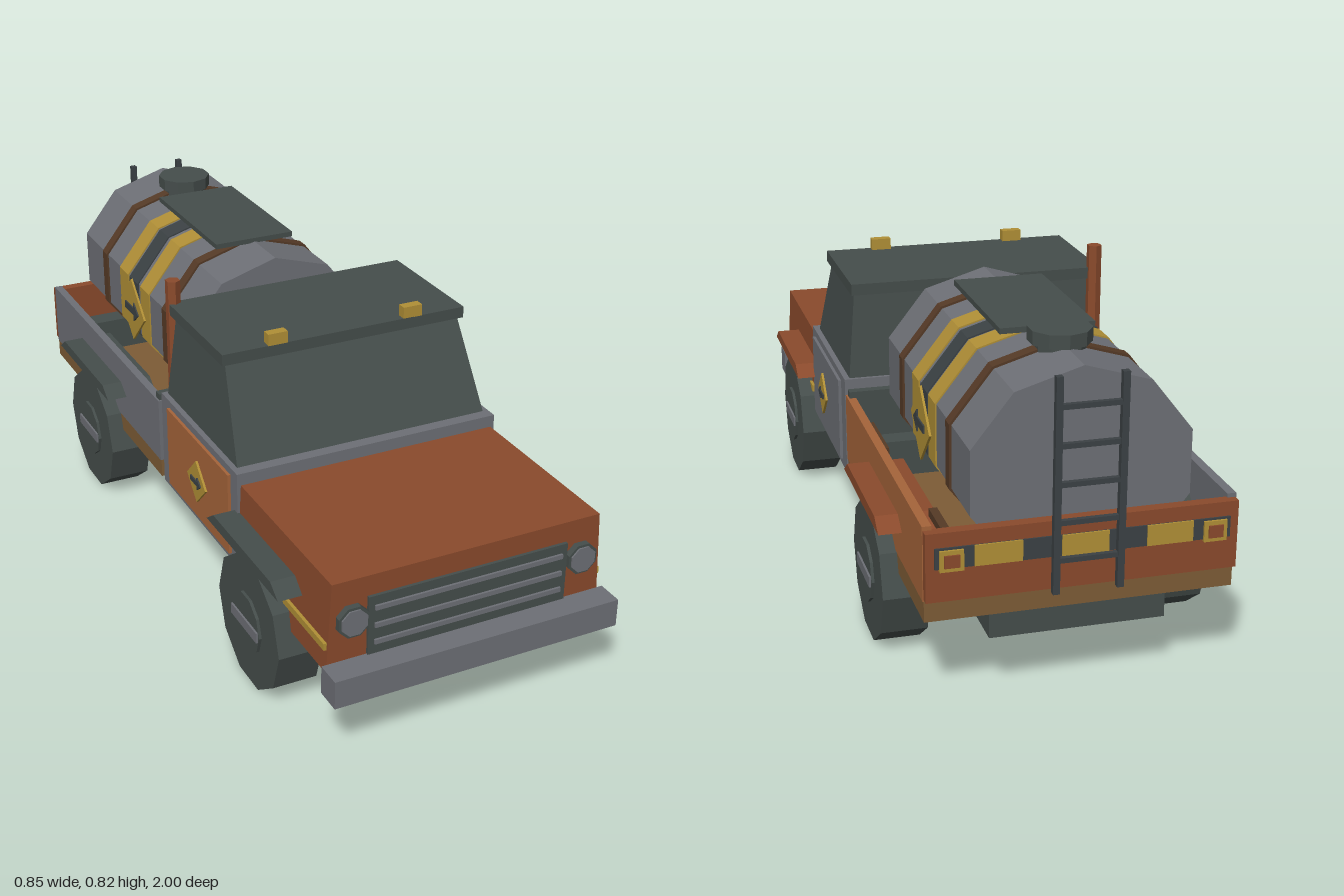
import * as THREE from 'three';

const colours = {
  rust: 0x8a4a2c, orange: 0xa5643a, tan: 0x7d5c36, grey: 0x6d6f75, dark: 0x454d4b,
  yellow: 0xb08f36, strap: 0x553a26, charcoal: 0x3b4144,
};

export function createModel() {
  const truck = new THREE.Group();
  truck.name = 'tankTruck';
  const mats = {};
  for (const [name, color] of Object.entries(colours)) {
    mats[name] = new THREE.MeshStandardMaterial({ color });
    mats[name].name = name;
  }

  // Faceted mesh from any geometry
  function add(name, geo, mat, x = 0, y = 0, z = 0) {
    const g = geo.index ? geo.toNonIndexed() : geo;
    g.computeVertexNormals();
    const mesh = new THREE.Mesh(g, mats[mat]);
    mesh.name = name;
    mesh.position.set(x, y, z);
    truck.add(mesh);
    return mesh;
  }
  // Box given by its limits on each axis
  function box(name, mat, [x0, x1], [y0, y1], [z0, z1]) {
    return add(name, new THREE.BoxGeometry(x1 - x0, y1 - y0, z1 - z0), mat,
      (x0 + x1) / 2, (y0 + y1) / 2, (z0 + z1) / 2);
  }
  // Box whose top has its own half width and z range
  function tapered(name, mat, [y0, y1], bottom, top) {
    const g = new THREE.BoxGeometry(2, 1, 2);
    const p = g.attributes.position;
    for (let i = 0; i < p.count; i++) {
      const up = p.getY(i) > 0;
      const [hw, z0, z1] = up ? top : bottom;
      p.setXYZ(i, p.getX(i) * hw, up ? y1 : y0, p.getZ(i) > 0 ? z1 : z0);
    }
    return add(name, g, mat);
  }
  // Flat-sided cylinder lying along x or z
  function drum(axis, r, len, sides) {
    const g = new THREE.CylinderGeometry(r, r, len, sides);
    return axis === 'x' ? g.rotateZ(Math.PI / 2) : g.rotateX(Math.PI / 2);
  }

  // Chassis and front bumper
  box('chassis', 'dark', [-0.21, 0.21], [0.155, 0.226], [-0.93, 0.88]);
  box('frontBumper', 'grey', [-0.38, 0.38], [0.177, 0.25], [0.932, 1.0]);

  // Hood, grille and headlights
  tapered('hood', 'rust', [0.225, 0.458], [0.367, 0.44, 0.93], [0.355, 0.44, 0.93]);
  box('grille', 'dark', [-0.265, 0.265], [0.25, 0.405], [0.925, 0.938]);
  for (const y of [0.283, 0.328, 0.375]) {
    box('grilleSlat', 'grey', [-0.25, 0.25], [y - 0.006, y + 0.006], [0.936, 0.944]);
  }

  // Cab
  box('cabBody', 'grey', [-0.365, 0.365], [0.225, 0.49], [-0.055, 0.44]);
  tapered('cabWindows', 'dark', [0.49, 0.72], [0.35, -0.045, 0.408], [0.328, -0.022, 0.292]);
  box('roof', 'dark', [-0.34, 0.34], [0.718, 0.748], [-0.05, 0.305]);

  // Exhaust stack
  add('exhaustPipe', new THREE.CylinderGeometry(0.02, 0.02, 0.55, 6), 'rust', -0.325, 0.535, -0.048);

  // Load bed
  box('bedFloor', 'tan', [-0.365, 0.365], [0.225, 0.275], [-0.95, -0.075]);
  box('bedLeftWall', 'orange', [0.345, 0.367], [0.275, 0.455], [-0.947, -0.075]);
  box('bedRightWall', 'grey', [-0.367, -0.345], [0.275, 0.455], [-0.947, -0.075]);
  box('headboard', 'dark', [-0.362, 0.362], [0.27, 0.472], [-0.105, -0.08]);
  box('tailgate', 'rust', [-0.365, 0.365], [0.28, 0.445], [-0.968, -0.94]);

  // Warning band on the tailgate
  box('tailBand', 'charcoal', [-0.345, 0.345], [0.36, 0.41], [-0.972, -0.966]);
  for (const x of [-0.2, 0, 0.2]) {
    box('tailBandStripe', 'yellow', [x - 0.055, x + 0.055], [0.36, 0.41], [-0.974, -0.97]);
  }

  // Ladder
  for (const x of [-0.075, 0.075]) {
    box('ladderRail', 'charcoal', [x - 0.008, x + 0.008], [0.28, 0.79], [-1.0, -0.984]);
  }
  for (let i = 0; i < 5; i++) {
    const y = 0.36 + i * 0.09;
    box('ladderRung', 'charcoal', [-0.075, 0.075], [y - 0.006, y + 0.006], [-0.998, -0.986]);
  }
  
  // Tank with bands, saddles, walkway and hatch
  function tankRing(name, mat, z0, z1, grow) {
    const g = drum('z', 1, z1 - z0, 10).scale(0.27 + grow, 0.25 + grow, 1);
    add(name, g, mat, 0, 0.54, (z0 + z1) / 2);
  }
  tankRing('tank', 'grey', -0.938, -0.115, 0);
  for (const z of [-0.76, -0.283]) tankRing('tankStrap', 'strap', z - 0.017, z + 0.017, 0.006);
  for (const z of [-0.602, -0.437]) tankRing('tankYellowBand', 'yellow', z - 0.034, z + 0.034, 0.004);
  tankRing('tankDarkBand', 'charcoal', -0.556, -0.491, 0.004);
  for (const z of [-0.84, -0.197]) {
    box('tankSaddle', 'dark', [-0.325, 0.325], [0.275, 0.37], [z - 0.03, z + 0.03]);
  }
  box('tankWalkway', 'dark', [-0.115, 0.115], [0.786, 0.8], [-0.67, -0.25]);
  add('hatchCollar', new THREE.CylinderGeometry(0.06, 0.06, 0.05, 10), 'dark', 0, 0.775, -0.76);
  add('hatchLid', new THREE.CylinderGeometry(0.075, 0.075, 0.033, 10), 'dark', 0, 0.808, -0.76);

  // Loose bars lying in the bed
  box('looseBar', 'strap', [0.28, 0.3], [0.38, 0.4], [-0.9, -0.73]);
  box('looseBar', 'strap', [0.308, 0.328], [0.38, 0.4], [-0.34, -0.15]);

  // Thin sign outlines in the side plane: u runs forward, v runs up
  const diamond = [[1, 0], [0, 1], [-1, 0], [0, -1]];
  const arrow = [[0.58, 0], [0.2, 0.3], [0.2, 0.11], [-0.52, 0.11], [-0.52, -0.11], [0.2, -0.11], [0.2, -0.3]];
  function plate(name, mat, pts, size, x, y, z) {
    const shape = new THREE.Shape(pts.map(([u, v]) => new THREE.Vector2(-u * size, v * size)));
    const g = new THREE.ExtrudeGeometry(shape, { depth: 0.006, bevelEnabled: false });
    g.translate(0, 0, -0.003).rotateY(Math.PI / 2);
    add(name, g, mat, x, y, z);
  }
  // Fender outline in the side plane
  const fenderShape = new THREE.Shape([[-0.207, 0.352], [0.207, 0.352], [0.165, 0.382], [-0.165, 0.382]]
    .map(([u, v]) => new THREE.Vector2(u, v)));

  for (const s of [1, -1]) {
    const span = (a, b) => (s > 0 ? [a, b] : [-b, -a]);

    // Headlights, tail lights and roof markers
    add('headlightRing', drum('z', 0.042, 0.02, 8).rotateZ(Math.PI / 8), 'dark', s * 0.305, 0.355, 0.936);
    add('headlightLens', drum('z', 0.035, 0.006, 8).rotateZ(Math.PI / 8), 'grey', s * 0.305, 0.355, 0.947);
    box('tailLight', 'yellow', span(0.28, 0.335), [0.355, 0.405], [-0.978, -0.966]);
    box('tailLightLens', 'rust', span(0.29, 0.325), [0.365, 0.395], [-0.982, -0.977]);
    box('roofMarker', 'yellow', span(0.163, 0.216), [0.747, 0.778], [0.28, 0.305]);

    // Doors and hood stripes
    box('door', s > 0 ? 'grey' : 'orange', span(0.36, 0.373), [0.245, 0.47], [0.0, 0.4]);
    box('hoodStripe', 'yellow', span(0.36, 0.371), [0.285, 0.303], [0.445, 0.925]);

    // Diamond signs with arrows
    plate('doorSign', 'yellow', diamond, 0.06, s * 0.379, 0.36, 0.215);
    plate('doorArrow', 'charcoal', arrow, 0.06, s * 0.383, 0.36, 0.215);
    plate('tankSign', 'yellow', diamond, 0.095, s * 0.267, 0.53, -0.52);
    plate('tankArrow', 'charcoal', arrow, 0.095, s * 0.271, 0.53, -0.52);

    // Wheels and fenders, front and rear
    for (const z of [0.59, -0.535]) {
      add('tyre', drum('x', 0.176, 0.115, 10), 'dark', s * 0.35, 0.168, z);
      add('hub', drum('x', 0.08, 0.13, 10), 'dark', s * 0.35, 0.168, z);
      box('hubBar', 'grey', span(0.28, 0.42), [0.154, 0.182], [z - 0.074, z + 0.074]);
      const fender = new THREE.ExtrudeGeometry(fenderShape, { depth: 0.143, bevelEnabled: false });
      fender.translate(0, 0, -0.0715).rotateY(Math.PI / 2);
      add('fender', fender, s > 0 ? 'rust' : 'dark', s * 0.351, 0, z - 0.003);
    }
  }
  return truck;
}
